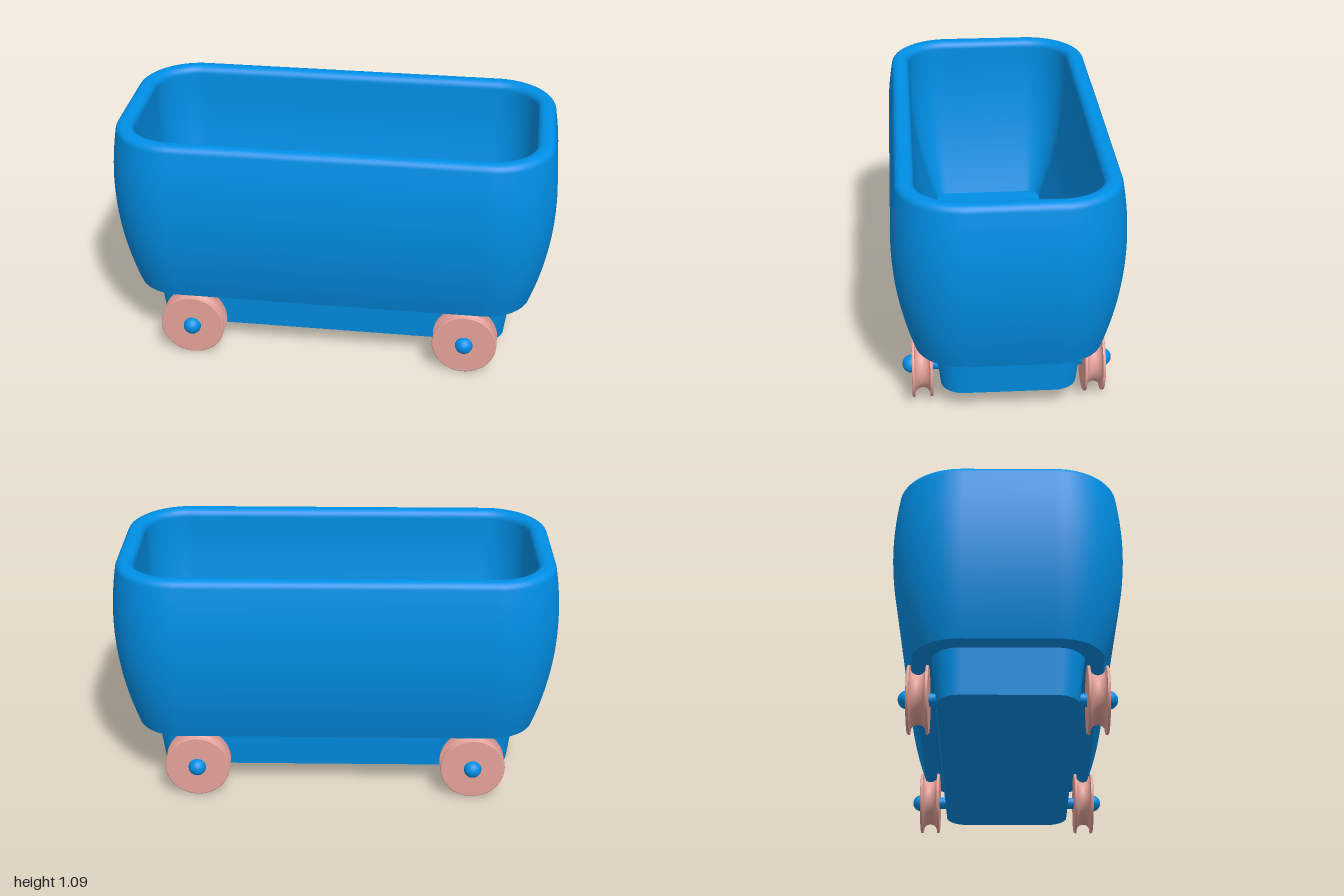
import * as THREE from 'three';
import { mergeGeometries } from 'three/addons/utils/BufferGeometryUtils.js';

const V = (x, y) => new THREE.Vector2(x, y);
const CORE_X = 0.7, CORE_Z = 0.198, CORNER = 0.3, STEPS = 16;

// Rounded-rectangle outline, pulled in by an inset: corner radius shrinks with it
function outline(inset) {
  const r = CORNER - inset, pts = [];
  [[1, 1], [-1, 1], [-1, -1], [1, -1]].forEach(([sx, sz], q) => {
    for (let i = 0; i <= STEPS; i++) {
      const a = (q + i / STEPS) * Math.PI / 2;
      pts.push(V(sx * CORE_X + r * Math.cos(a), sz * CORE_Z + r * Math.sin(a)));
    }
  });
  return pts;
}

// Sweep a profile of (inset, y) points around the outline
function sweep(profile) {
  const pos = [], idx = [];
  let n = 0;
  profile.forEach(p => {
    const ring = outline(p.x);
    n = ring.length;
    ring.forEach(c => pos.push(c.x, p.y, c.y));
  });
  for (let i = 0; i < profile.length - 1; i++) {
    for (let j = 0; j < n; j++) {
      const a = i * n + j, b = i * n + (j + 1) % n;
      idx.push(a, a + n, b, b, a + n, b + n);
    }
  }
  const g = new THREE.BufferGeometry();
  g.setAttribute('position', new THREE.Float32BufferAttribute(pos, 3));
  g.setIndex(idx);
  g.computeVertexNormals();
  return g;
}

// Flat cap filling the outline
function cap(inset, y, up) {
  const g = new THREE.ShapeGeometry(new THREE.Shape(outline(inset)));
  g.rotateX(up ? -Math.PI / 2 : Math.PI / 2);
  g.translate(0, y, 0);
  return g;
}

function arc(cx, cy, r, from, to, steps) {
  const pts = [];
  for (let i = 0; i <= steps; i++) {
    const a = from + (to - from) * i / steps;
    pts.push(V(cx + r * Math.cos(a), cy + r * Math.sin(a)));
  }
  return pts;
}

// Curved wall profile between two heights; inset(y) gives the curve
function wall(from, to, inset) {
  const pts = [];
  for (let i = 0; i <= 20; i++) {
    const y = from + (to - from) * i / 20;
    pts.push(V(inset(y), y));
  }
  return pts;
}

export function createModel() {
  const group = new THREE.Group();
  const blue = new THREE.MeshStandardMaterial({ color: 0x008fe6 });
  const pink = new THREE.MeshStandardMaterial({ color: 0xe5a29a });

  const add = (parent, name, geometry, material) => {
    const mesh = new THREE.Mesh(geometry, material);
    mesh.name = name;
    parent.add(mesh);
    return mesh;
  };

  // Tub: bulging outer wall, rounded rim and tapering inner wall in one smooth sweep
  const TOP = 1.085, UNDER = 0.297, FLOOR = 0.3, R = 0.035;
  const outer = y => 0.36 * (y - 0.8) ** 2;
  const inner = y => 0.105 + 0.265 * (y - 1) ** 2;
  const tub = [
    ...wall(UNDER, TOP - R, outer),
    ...arc(outer(TOP - R) + R, TOP - R, R, Math.PI, Math.PI / 2, 8).slice(1),
    ...arc(inner(1) - R, TOP - R, R, Math.PI / 2, 0, 8),
    ...wall(1, FLOOR, inner),
  ];
  add(group, 'tub', sweep(tub), blue);
  add(group, 'tubUnderside', sweep([V(0.175, UNDER), V(outer(UNDER), UNDER)]), blue);
  add(group, 'tubFloor', cap(inner(FLOOR), FLOOR, true), blue);

  // Tapered base under the tub
  add(group, 'base', sweep([V(0.201, 0.094), V(0.175, UNDER)]), blue);
  add(group, 'baseBottom', cap(0.201, 0.094, false), blue);

  // Grooved wheel: separate lathe pieces keep the rim edges sharp
  const WR = 0.147, HW = 0.046, GR = 0.034, GY = WR - 0.008, B = 0.006;
  const lathe = pts => new THREE.LatheGeometry(pts, 64);
  const wheelGeometry = mergeGeometries([
    lathe([V(0, -HW), V(WR - B, -HW)]),
    lathe(arc(WR - B, -HW + B, B, -Math.PI / 2, 0, 4)),
    lathe([V(WR, -HW + B), V(WR, -GR)]),
    lathe([V(WR, -GR), V(GY, -GR)]),
    lathe(arc(GY, 0, GR, -Math.PI / 2, -Math.PI * 1.5, 20)),
    lathe([V(GY, GR), V(WR, GR)]),
    lathe([V(WR, GR), V(WR, HW - B)]),
    lathe(arc(WR - B, HW - B, B, 0, Math.PI / 2, 4)),
    lathe([V(WR - B, HW), V(0, HW)]),
  ]);
  wheelGeometry.rotateX(Math.PI / 2);

  // Axles with a wheel and domed cap at each end
  for (const x of [-0.628, 0.628]) {
    const axleSet = new THREE.Group();
    axleSet.name = x > 0 ? 'leftWheelSet' : 'rightWheelSet';
    axleSet.position.set(x, WR, 0);
    group.add(axleSet);
    const axle = new THREE.CylinderGeometry(0.028, 0.028, 0.84, 32);
    add(axleSet, 'axle', axle.rotateX(Math.PI / 2), blue);
    for (const s of [-1, 1]) {
      add(axleSet, s > 0 ? 'frontWheel' : 'backWheel', wheelGeometry, pink).position.z = s * 0.378;
      const dome = new THREE.SphereGeometry(0.04, 32, 12, 0, Math.PI * 2, 0, Math.PI / 2);
      add(axleSet, 'axleCap', dome.rotateX(s * Math.PI / 2), blue).position.z = s * 0.424;
    }
  }
  return group;
}
